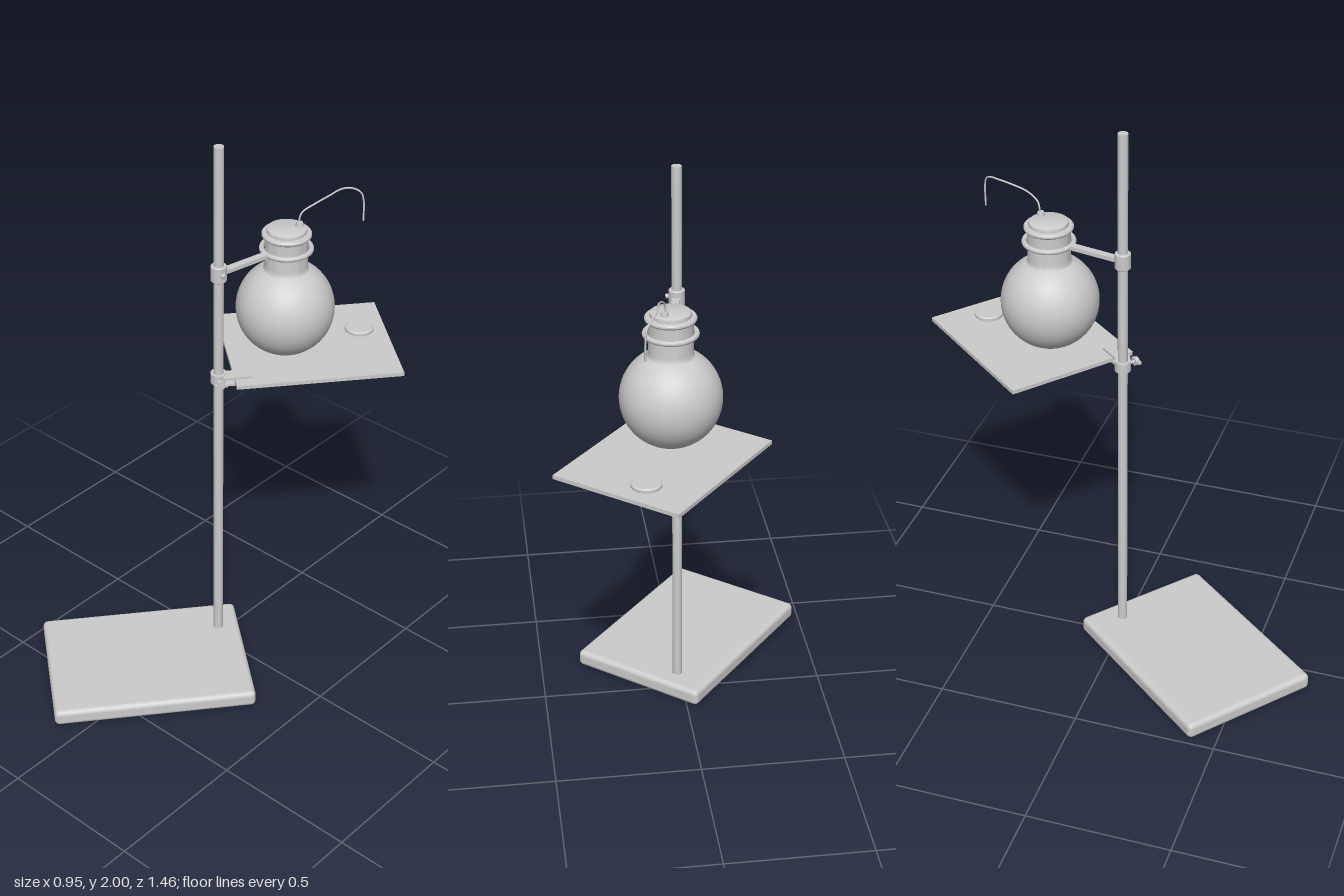
import * as THREE from 'three';
import { RoundedBoxGeometry } from 'three/addons/geometries/RoundedBoxGeometry.js';
import { toCreasedNormals } from 'three/addons/utils/BufferGeometryUtils.js';

const grey = new THREE.MeshStandardMaterial({ color: 0xcccccc });
const TURN = -0.69; // base and plate are turned about the vertical
const ROD = [0.018, 0.004];

function add(parent, name, geometry, x = 0, y = 0, z = 0) {
  const mesh = new THREE.Mesh(geometry, grey);
  mesh.name = name;
  mesh.position.set(x, y, z);
  parent.add(mesh);
  return mesh;
}

// Turned part with crisp edges where the profile bends sharply
function turned(points, segments = 48) {
  const profile = points.map(([r, y]) => new THREE.Vector2(r, y));
  return toCreasedNormals(new THREE.LatheGeometry(profile, segments), 0.6);
}

function makeGroup(parent, name, x, y, z, angle) {
  const group = new THREE.Group();
  group.name = name;
  group.position.set(x, y, z);
  group.rotation.y = angle;
  parent.add(group);
  return group;
}

export function createModel() {
  const model = new THREE.Group();
  model.name = 'flaskStand';

  // Base and upright rod
  add(model, 'base', new RoundedBoxGeometry(0.515, 0.06, 0.71, 4, 0.018), -0.06, 0.03, 0.3).rotation.y = TURN;
  add(model, 'rod', new THREE.CylinderGeometry(0.017, 0.017, 1.95, 24), ROD[0], 1.025, ROD[1]);

  // Plate with a round fitting set through it
  add(model, 'plate', new THREE.BoxGeometry(0.472, 0.014, 0.572), 0.107, 1.14, -0.36).rotation.y = TURN;
  add(model, 'plateFitting', turned([
    [0, -0.024], [0.045, -0.024], [0.05, -0.02], [0.05, -0.011], [0.046, -0.009],
    [0.046, 0.009], [0.05, 0.011], [0.05, 0.02], [0.045, 0.024], [0, 0.024],
  ]), 0.185, 1.14, -0.545);

  // Lower clamp holding the plate
  const lower = makeGroup(model, 'plateClamp', ROD[0], 1.143, ROD[1], TURN);
  add(lower, 'clampCollar', new THREE.CylinderGeometry(0.028, 0.028, 0.036, 24));
  for (const y of [-0.012, 0.012]) {
    add(lower, 'clampJaw', new THREE.BoxGeometry(0.048, 0.008, 0.1), 0.014, y, -0.06);
  }
  add(lower, 'clampScrew', new THREE.CylinderGeometry(0.006, 0.006, 0.03, 12), 0.034, 0, 0).rotation.z = Math.PI / 2;
  add(lower, 'clampKnob', new THREE.CylinderGeometry(0.015, 0.015, 0.014, 16), 0.052, 0, 0).rotation.z = Math.PI / 2;
  add(lower, 'clampWing', new THREE.BoxGeometry(0.012, 0.01, 0.044), 0.055, 0, 0);

  // Flask: round body, neck, lip and stopper
  const flask = makeGroup(model, 'flask', 0.073, 1.32, -0.273, 0);
  add(flask, 'flaskBody', new THREE.SphereGeometry(0.168, 64, 40));
  add(flask, 'flaskNeck', turned([
    [0.082, 0.143], [0.075, 0.152], [0.073, 0.165], [0.073, 0.268], [0.08, 0.27],
    [0.084, 0.275], [0.084, 0.281], [0.08, 0.286], [0.066, 0.287],
  ]));
  add(flask, 'stopper', turned([
    [0.066, 0.27], [0.068, 0.29], [0.066, 0.298], [0.06, 0.301], [0, 0.301],
  ]));
  add(flask, 'wireBushing', new THREE.CylinderGeometry(0.011, 0.014, 0.018, 20), 0.024, 0.307, -0.036);

  // Bent wire rising from the stopper and hanging over the fitting
  const wirePath = new THREE.CatmullRomCurve3([
    [0.097, 1.61, -0.309], [0.094, 1.645, -0.311], [0.1, 1.67, -0.32], [0.118, 1.69, -0.36],
    [0.131, 1.702, -0.42], [0.14, 1.709, -0.475], [0.158, 1.704, -0.51], [0.177, 1.685, -0.533],
    [0.183, 1.655, -0.54], [0.185, 1.58, -0.541],
  ].map((p) => new THREE.Vector3(...p)));
  add(model, 'wire', new THREE.TubeGeometry(wirePath, 80, 0.0032, 8));

  // Upper clamp: collar, arm and ring around the neck
  const dx = 0.073 - ROD[0];
  const dz = -0.273 - ROD[1];
  const reach = Math.hypot(dx, dz);
  const upper = makeGroup(model, 'neckClamp', ROD[0], 1.545, ROD[1], Math.atan2(dx, dz));
  add(upper, 'clampCollar', turned([
    [0.017, -0.029], [0.024, -0.029], [0.027, -0.026], [0.027, 0.026], [0.024, 0.029], [0.017, 0.029],
  ], 32));
  const armLength = reach - 0.085 - 0.02;
  add(upper, 'clampArm', new THREE.BoxGeometry(0.026, 0.014, armLength), 0, 0, 0.02 + armLength / 2);
  const ring = add(upper, 'clampRing', new THREE.TorusGeometry(0.083, 0.009, 12, 64), 0, 0, reach);
  ring.rotation.x = Math.PI / 2;
  const screw = add(model, 'clampScrew', new THREE.CylinderGeometry(0.008, 0.008, 0.02, 16), ROD[0] + 0.026, 1.547, ROD[1] + 0.008);
  screw.rotation.z = Math.PI / 2;

  return model;
}
